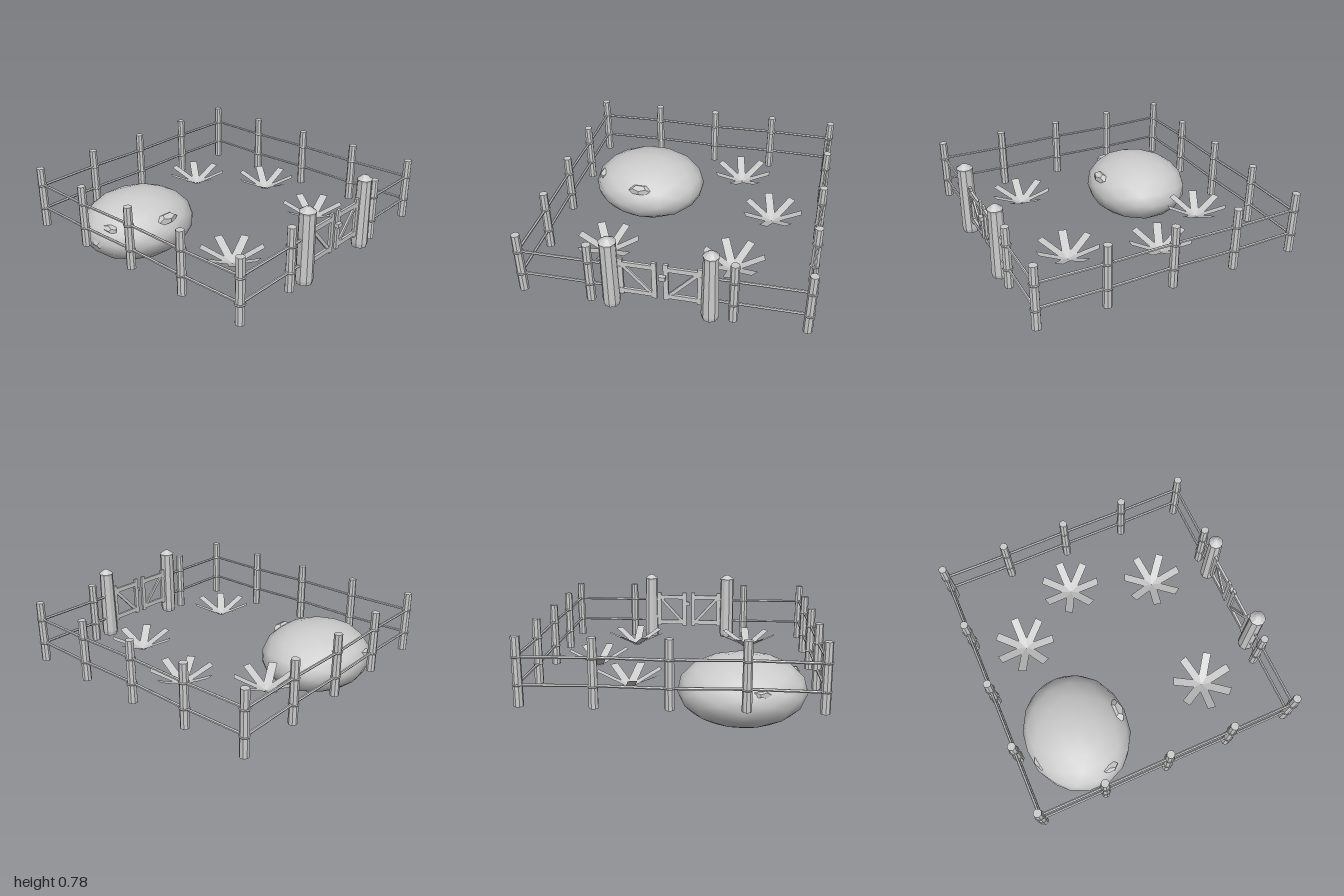
import * as THREE from 'three';

const flat = new THREE.MeshStandardMaterial({ color: 0xcccccc, flatShading: true });
const smooth = new THREE.MeshStandardMaterial({ color: 0xcccccc });
const leafMat = new THREE.MeshStandardMaterial({ color: 0xcccccc, flatShading: true, side: THREE.DoubleSide });

const BACK = -0.963, FRONT = 0.932, SIDE = 0.945;
const RAIL_Y = [0.39, 0.57];
const V = (x, y, z) => new THREE.Vector3(x, y, z);

function add(parent, name, geometry, material = flat) {
  const mesh = new THREE.Mesh(geometry, material);
  mesh.name = name;
  parent.add(mesh);
  return mesh;
}

// Round stick between two points
function rod(parent, name, a, b, r, sides = 6) {
  const dir = b.clone().sub(a);
  const mesh = add(parent, name, new THREE.CylinderGeometry(r, r, dir.length(), sides));
  mesh.position.copy(a).lerp(b, 0.5);
  mesh.quaternion.setFromUnitVectors(V(0, 1, 0), dir.normalize());
}

// Fence post with a rope ring at each rail
function fencePost(parent, x, z, i) {
  const post = new THREE.Group();
  post.name = 'fencePost';
  post.position.set(x, 0, z);
  post.rotation.y = i * 0.7;
  parent.add(post);
  add(post, 'postShaft', new THREE.CylinderGeometry(0.029, 0.032, 0.45, 8)).position.y = 0.475;
  for (const y of RAIL_Y) {
    const ring = add(post, 'ropeRing', new THREE.TorusGeometry(0.031, 0.006, 5, 10));
    ring.position.y = y;
    ring.rotation.x = Math.PI / 2;
  }
}

// Thick gate post with a blunt pointed cap
function gatePost(parent, x, topRadius) {
  const profile = [[0, 0.25], [0.054, 0.25], [0.06, 0.28], [topRadius, 0.74], [topRadius + 0.003, 0.755], [0.02, 0.782], [0, 0.788]];
  const post = add(parent, 'gatePost', new THREE.LatheGeometry(profile.map(([r, y]) => new THREE.Vector2(r, y)), 9));
  post.position.set(x, 0, 0.94);
}

// One gate leaf: two stiles, two rails, one diagonal brace
function gateLeaf(parent, s) {
  const leaf = new THREE.Group();
  leaf.name = s > 0 ? 'gateLeafLeft' : 'gateLeafRight';
  leaf.position.z = FRONT;
  parent.add(leaf);
  const bar = (name, x, y, w, h) => add(leaf, name, new THREE.BoxGeometry(w, h, 0.018)).position.set(s * x, y, 0);
  bar('outerStile', 0.257, 0.485, 0.032, 0.29);
  bar('innerStile', 0.038, 0.485, 0.032, 0.29);
  bar('topBar', 0.148, 0.59, 0.25, 0.034);
  bar('bottomBar', 0.148, 0.37, 0.25, 0.034);
  const brace = add(leaf, 'brace', new THREE.BoxGeometry(0.28, 0.024, 0.014));
  brace.position.set(s * 0.148, 0.475, 0);
  brace.rotation.z = s * Math.atan2(0.21, 0.19);
  for (const y of RAIL_Y) rod(leaf, 'hinge', V(s * 0.25, y, 0), V(s * 0.32, y, 0), 0.01);
}

// Star plant of seven flat leaves rising outward
function plant(parent, x, z, phase) {
  const group = new THREE.Group();
  group.name = 'plant';
  group.position.set(x, 0.28, z);
  parent.add(group);
  for (let i = 0; i < 7; i++) {
    const leaf = new THREE.PlaneGeometry(0.24, 0.06);
    leaf.rotateX(-Math.PI / 2).translate(0.12, 0, 0).rotateZ(0.45);
    add(group, 'leaf', leaf, leafMat).rotation.y = phase + i * Math.PI * 2 / 7;
  }
}

// Big squat boulder with a few chips embedded in its surface
function boulder(parent) {
  const group = new THREE.Group();
  group.name = 'boulder';
  parent.add(group);
  const body = new THREE.IcosahedronGeometry(1, 2);
  body.scale(0.442, 0.245, 0.39);
  add(group, 'boulderBody', body, smooth).position.set(-0.45, 0.247, -0.51);
  const chips = [[-0.45, 0.37, -0.19, 0.09, 0.04, 0.05], [-0.8, 0.35, -0.4, 0.04, 0.03, 0.07],
    [-0.56, 0.32, -0.83, 0.07, 0.03, 0.05], [-0.86, 0.235, -0.47, 0.035, 0.04, 0.06]];
  for (const [x, y, z, a, b, c] of chips) {
    const chip = add(group, 'boulderChip', new THREE.DodecahedronGeometry(1));
    chip.position.set(x, y, z);
    chip.scale.set(a, b, c);
  }
}

export function createModel() {
  const model = new THREE.Group();
  model.name = 'fencedYard';

  // Posts around the square; the front middle is left open for the gate
  const step = (FRONT - BACK) / 4;
  for (let i = 0; i < 5; i++) {
    const x = -SIDE + i * SIDE / 2;
    fencePost(model, x, BACK, i);
    if (i !== 2) fencePost(model, x, FRONT, i + 5);
    if (i > 0 && i < 4) for (const s of [-1, 1]) fencePost(model, s * SIDE, BACK + i * step, i + 10 + s);
  }

  // Rails, each bay slightly uneven
  for (const y of RAIL_Y) {
    for (let i = 0; i < 4; i++) {
      const x = -SIDE + i * SIDE / 2, z = BACK + i * step, d = i % 2 ? 0.004 : -0.004;
      rod(model, 'backRail', V(x - 0.03, y + d, BACK), V(x + SIDE / 2 + 0.03, y - d, BACK), 0.01);
      for (const s of [-1, 1]) {
        rod(model, 'sideRail', V(s * SIDE, y - d, z - 0.03), V(s * SIDE, y + d, z + step + 0.03), 0.01);
      }
    }
    for (const s of [-1, 1]) rod(model, 'frontRail', V(s * 0.975, y, FRONT), V(s * 0.325, y, FRONT), 0.01);
  }

  // Gate
  gatePost(model, -0.328, 0.055);
  gatePost(model, 0.325, 0.05);
  gateLeaf(model, 1);
  gateLeaf(model, -1);
  add(model, 'latch', new THREE.BoxGeometry(0.045, 0.03, 0.03)).position.set(0.018, 0.53, 0.951);

  // Yard contents
  plant(model, 0.295, -0.615, 0);
  plant(model, 0.593, -0.125, 0.02);
  plant(model, -0.497, 0.48, 0.3);
  plant(model, 0.397, 0.483, 0.2);
  boulder(model);
  return model;
}
